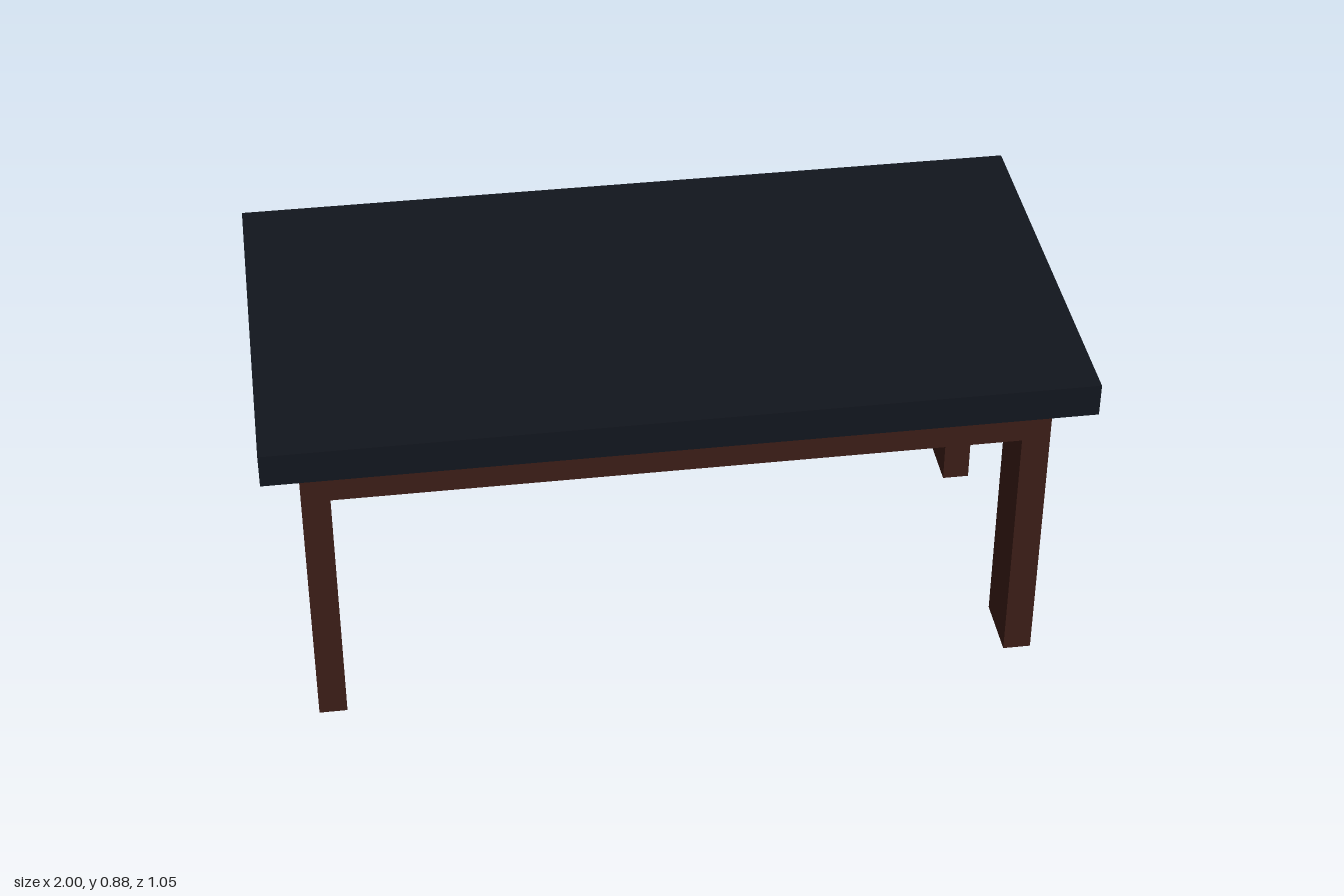
import * as THREE from 'three';

export function createModel() {
  const group = new THREE.Group();
  const wood = new THREE.MeshStandardMaterial({ color: 0x3a1c16 });
  const dark = new THREE.MeshStandardMaterial({ color: 0x11151d });

  // Box given by its lower and upper corners
  const box = (name, material, [x0, y0, z0], [x1, y1, z1]) => {
    const mesh = new THREE.Mesh(new THREE.BoxGeometry(x1 - x0, y1 - y0, z1 - z0), material);
    mesh.position.set((x0 + x1) / 2, (y0 + y1) / 2, (z0 + z1) / 2);
    mesh.name = name;
    group.add(mesh);
    return mesh;
  };

  const topY = 0.79, apronY = 0.668;
  const outX = 0.91, inX = 0.84;   // leg outer and inner faces
  const outZ = 0.442, inZ = 0.277;
  const rail = 0.07;               // apron thickness

  box('tableTop', dark, [-1, topY, -0.523], [1, 0.875, 0.523]);

  for (const s of [-1, 1]) {
    const side = s > 0 ? 'Left' : 'Right';
    const end = s > 0 ? 'front' : 'back';
    const cx = s * (outX + inX) / 2, hx = (outX - inX) / 2;

    // Legs at both corners of this end
    for (const t of [-1, 1]) {
      const cz = t * (outZ + inZ) / 2, hz = (outZ - inZ) / 2;
      box((t > 0 ? 'front' : 'back') + side + 'Leg', wood,
        [cx - hx, 0, cz - hz], [cx + hx, topY, cz + hz]);
    }

    // End apron between the legs
    box(side.toLowerCase() + 'Apron', wood, [cx - hx, apronY, -inZ], [cx + hx, topY, inZ]);

    // Long apron flush with the outer leg faces
    const az = s * (outZ - rail / 2);
    box(end + 'Apron', wood, [-inX, apronY, az - rail / 2], [inX, topY, az + rail / 2]);
  }
  return group;
}
